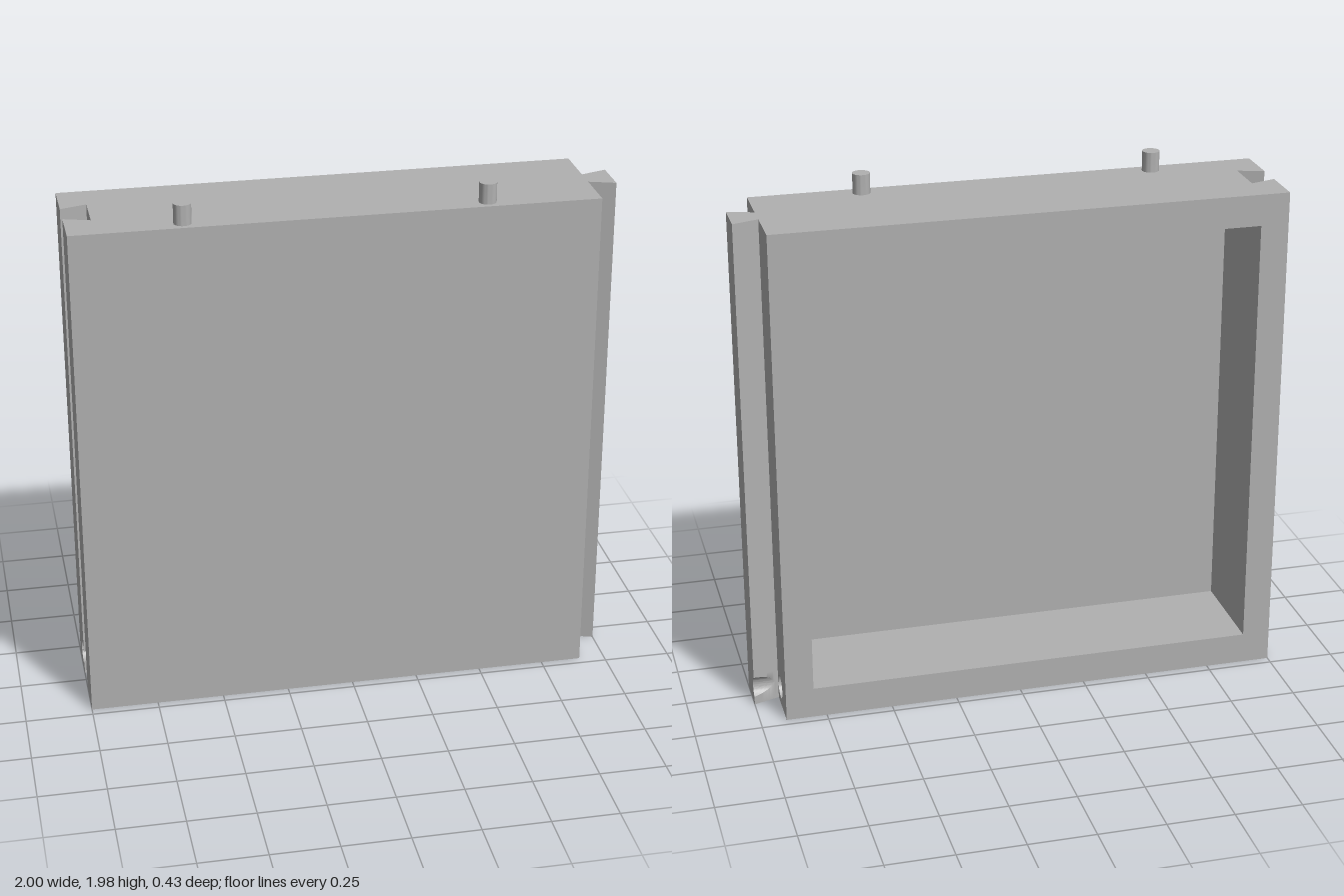
import * as THREE from 'three';
import { toCreasedNormals } from 'three/addons/utils/BufferGeometryUtils.js';

// Main dimensions
const L = -1, R = 0.903, TIP = 1, GROOVE = -0.904; // x positions
const D = 0.217, H = 1.905;                        // half depth, height
const RAIL = 0.118, WALL = 0.105, PANEL_Z = 0.164; // frame thicknesses
const SPLIT = -0.03;                               // where the bottom rail divides in z
const BORE = { y: 0.073, z: -0.09, r: 0.0445 };    // cross bore through the bottom rail
const PEG_X = [-0.595, 0.495], PEG_Z = 0.168, PEG_R = 0.032;

const grey = new THREE.MeshStandardMaterial({ color: 0xb0b0b0 });
grey.name = 'grey plastic';

function part(name, geometry) {
  const mesh = new THREE.Mesh(toCreasedNormals(geometry, 0.6), grey);
  mesh.name = name;
  return mesh;
}

const toShape = (points) => new THREE.Shape(points.map(([a, b]) => new THREE.Vector2(a, b)));

function circleHole(x, y, r) {
  const hole = new THREE.Path();
  hole.absarc(x, y, r, 0, Math.PI * 2, true);
  return hole;
}

// Extrude an [x, z] plan upwards from y0 to y1
function slab(name, plan, y0, y1, holes = []) {
  const shape = toShape(plan.map(([x, z]) => [x, -z]));
  for (const [x, z, r] of holes) shape.holes.push(circleHole(x, -z, r));
  const geo = new THREE.ExtrudeGeometry(shape, { depth: y1 - y0, bevelEnabled: false, curveSegments: 16 });
  return part(name, geo.rotateX(-Math.PI / 2).translate(0, y0, 0));
}

// Loft [z, y] sections along x; section(t) always gives the same number of points
function loft(name, x0, x1, section, baseT, steps) {
  const base = section(baseT);
  const geo = new THREE.ExtrudeGeometry(toShape(base.map(([z, y]) => [-z, y])), { depth: 1, steps, bevelEnabled: false });
  const pos = geo.attributes.position;
  for (let i = 0; i < pos.count; i++) {
    const t = pos.getZ(i);
    const dist = base.map(([z, y]) => Math.hypot(z + pos.getX(i), y - pos.getY(i)));
    const [z, y] = section(t)[dist.indexOf(Math.min(...dist))];
    pos.setXYZ(i, x0 + (x1 - x0) * t, y, z);
  }
  return part(name, geo);
}

// Section from zEdge to a slanted face at z = c, bitten by the cross bore
function bittenSection(zEdge, c) {
  const a = Math.acos(THREE.MathUtils.clamp((c - BORE.z) / BORE.r, -1, 1));
  const left = zEdge < c;
  const [from, to] = left ? [2 * Math.PI - a, a] : [-a, a];
  const points = [[zEdge, 0], [c, 0]];
  for (let i = 0; i <= 20; i++) {
    const angle = from + (to - from) * i / 20;
    const z = BORE.z + BORE.r * Math.cos(angle);
    points.push([left ? Math.min(c, z) : Math.max(c, z), BORE.y + BORE.r * Math.sin(angle)]);
  }
  points.push([c, RAIL], [zEdge, RAIL]);
  return points;
}

export function createModel() {
  const model = new THREE.Group();
  model.name = 'interlockingPanel';

  // Plan outline: dovetail groove on one side, dovetail tongue on the other
  const groove = [[L, -0.05], [GROOVE, -0.08], [GROOVE, 0.08], [L, 0.05]];
  const tongue = [[R, 0.04], [TIP, 0.072], [TIP, -0.072], [R, -0.04]];
  const outline = [[L, -D], ...groove, [L, D], [R, D], ...tongue, [R, -D]];

  // Top rail, and the walls with the front panel around the open back
  model.add(slab('topRail', outline, H - RAIL, H));
  const cavity = [[R - WALL, -D], [R - WALL, PANEL_Z], [L + WALL, PANEL_Z], [L + WALL, -D]];
  model.add(slab('wallsAndFrontPanel', [...outline, ...cavity], RAIL, H - RAIL));

  // Front of the bottom rail with sockets for pegs
  const frontPlan = [[GROOVE, SPLIT], [GROOVE, 0.08], [L, 0.05], [L, D], [R, D],
    [R, 0.04], [TIP, 0.072], [TIP, SPLIT]];
  const sockets = PEG_X.map((x) => [x, PEG_Z, PEG_R]);
  model.add(slab('bottomRailFront', frontPlan, 0, RAIL, sockets));

  // Rear of the bottom rail with the cross bore
  const rear = toShape([[D, 0], [D, RAIL], [-SPLIT, RAIL], [-SPLIT, 0]]);
  rear.holes.push(circleHole(-BORE.z, BORE.y, BORE.r));
  const rearGeo = new THREE.ExtrudeGeometry(rear, { depth: R - GROOVE, bevelEnabled: false, curveSegments: 16 });
  model.add(part('bottomRailRear', rearGeo.rotateY(Math.PI / 2).translate(GROOVE, 0, 0)));

  // Groove cheek and tongue foot, both cut by the bore
  const lerp = THREE.MathUtils.lerp;
  model.add(loft('grooveCheekFoot', L, GROOVE, (t) => bittenSection(-D, lerp(-0.05, -0.08, t)), 0, 8));
  model.add(loft('tongueFoot', R, TIP, (t) => bittenSection(SPLIT, lerp(-0.04, -0.072, t)), 1, 16));

  // Pegs on top, and the closed ends of the sockets below
  for (const x of PEG_X) {
    const peg = part('peg', new THREE.CylinderGeometry(PEG_R, PEG_R, 0.075, 32));
    peg.position.set(x, H + 0.0375, PEG_Z);
    const end = part('socketEnd', new THREE.CylinderGeometry(PEG_R, PEG_R, RAIL - 0.085, 32));
    end.position.set(x, (RAIL + 0.085) / 2, PEG_Z);
    model.add(peg, end);
  }
  return model;
}
